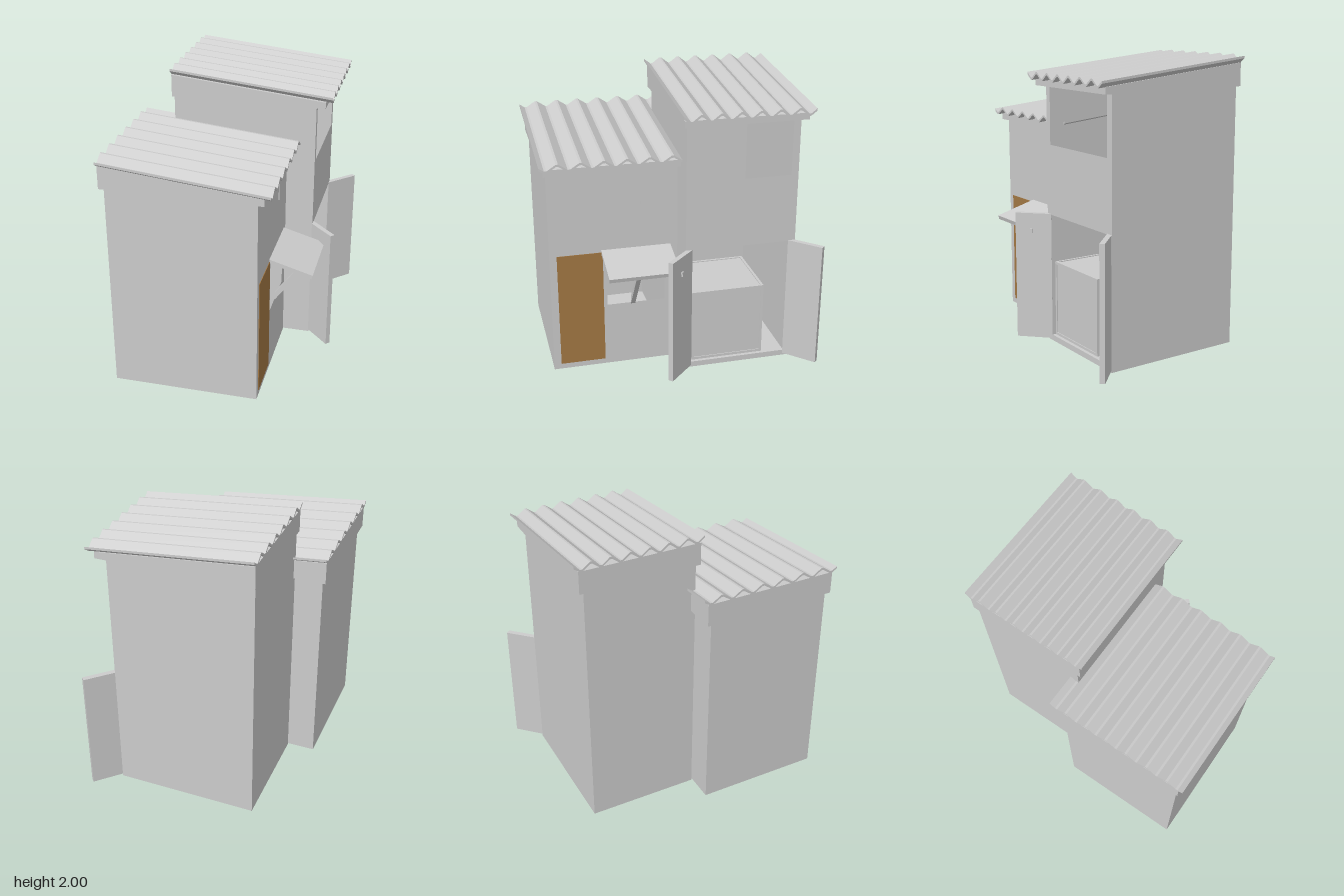
import * as THREE from 'three';

const material = (color) => new THREE.MeshStandardMaterial({ color, flatShading: true });
const grey = material(0xcccccc);
const white = material(0xffffff);
const brown = material(0xa37844);

function add(parent, name, geometry, mat = grey) {
  const mesh = new THREE.Mesh(geometry, mat);
  mesh.name = name;
  parent.add(mesh);
  return mesh;
}

// Box given by its limits along each axis
function block(parent, name, [x0, x1], [y0, y1], [z0, z1], mat) {
  const mesh = add(parent, name, new THREE.BoxGeometry(x1 - x0, y1 - y0, z1 - z0), mat);
  mesh.position.set((x0 + x1) / 2, (y0 + y1) / 2, (z0 + z1) / 2);
  return mesh;
}

const polygon = (points) => points.map(([x, y]) => new THREE.Vector2(x, y));

// Outline in (z, y) extruded along x from x0 to x1
function extrudeX(outline, x0, x1, holes = []) {
  const flip = (pts) => polygon(pts.map(([z, y]) => [-z, y]));
  const shape = new THREE.Shape(flip(outline));
  holes.forEach((h) => shape.holes.push(new THREE.Path(flip(h))));
  return new THREE.ExtrudeGeometry(shape, { depth: x1 - x0, bevelEnabled: false })
    .rotateY(Math.PI / 2).translate(x0, 0, 0);
}

// Outline in (x, y) extruded along z
function extrudeZ(outline, z0, z1) {
  return new THREE.ExtrudeGeometry(new THREE.Shape(polygon(outline)), { depth: z1 - z0, bevelEnabled: false })
    .translate(0, 0, z0);
}

const rect = (z0, z1, y0, y1) => [[z0, y0], [z1, y0], [z1, y1], [z0, y1]];

// Sloping corrugated sheet on a wedge-shaped cap
const SLOPE = 0.115 / 1.125;
function roof(parent, { x, z, top, firstPeak, pitch, cap }) {
  const wave = (v) => { // flat-topped zigzag, 0 in the valleys, 1 on the crests
    const t = Math.abs((((v - firstPeak) / pitch) % 1 + 1.5) % 1 - 0.5) * 2;
    return THREE.MathUtils.clamp((0.9 - t) / 0.8, 0, 1);
  };
  const breaks = [z[0], z[1]];
  for (let i = -2; i < 9; i++) {
    for (const f of [-0.05, 0.05, 0.45, 0.55]) {
      const v = firstPeak + (i + f) * pitch;
      if (v > z[0] + 0.004 && v < z[1] - 0.004) breaks.push(v);
    }
  }
  breaks.sort((a, b) => a - b);
  const upper = breaks.map((v) => [v, top - 0.04 + 0.04 * wave(v)]);
  const lower = upper.map(([v, y]) => [v, y - 0.016]).reverse();
  const sheet = extrudeX([...upper, ...lower], x[0], x[1]);
  const pos = sheet.attributes.position;
  for (let i = 0; i < pos.count; i++) pos.setY(i, pos.getY(i) - SLOPE * (pos.getX(i) - x[0]));
  sheet.computeVertexNormals();
  add(parent, 'corrugatedRoof', sheet);

  const high = top - 0.054;
  add(parent, 'roofCap', extrudeZ([
    [cap.x[0], cap.y], [cap.x[1], cap.y],
    [cap.x[1], high - SLOPE * (cap.x[1] - x[0])], [cap.x[0], high],
  ], cap.z[0], cap.z[1]));
}

// Hollow room with an open right wall
const T = 0.045;
function room(parent, x, y1, z, holes) {
  block(parent, 'floor', x, [0, 0.04], z);
  block(parent, 'leftWall', [x[0], x[0] + T], [0, y1], z);
  block(parent, 'frontWall', x, [0, y1], [z[1] - T, z[1]]);
  block(parent, 'backWall', x, [0, y1], [z[0], z[0] + T]);
  add(parent, 'openWall', extrudeX(rect(z[0], z[1], 0, y1), x[1] - T, x[1], holes));
}

function frontBuilding() {
  const g = new THREE.Group();
  g.name = 'frontBuilding';
  room(g, [-0.67, 0.33], 1.47, [0, 0.89], [rect(0.09, 0.5, 0.465, 0.87)]);
  roof(g, {
    x: [-0.705, 0.42], z: [-0.07, 0.94], top: 1.672, firstPeak: 0.055, pitch: 0.153,
    cap: { x: [-0.7, 0.375], y: 1.46, z: [-0.04, 0.91] },
  });
  block(g, 'door', [0.3, 0.334], [0.04, 0.87], [0.525, 0.84], brown);
  block(g, 'wallLight', [0.32, 0.335], [1.2, 1.4], [0.24, 0.26], white);
  // Propped-up window flap
  add(g, 'windowFlap', extrudeZ([[0.32, 0.862], [0.618, 0.775], [0.626, 0.803], [0.325, 0.888]], 0.05, 0.535));
  add(g, 'flapStrut', extrudeZ([[0.33, 0.455], [0.57, 0.785], [0.535, 0.795], [0.33, 0.51]], 0.303, 0.334));
  return g;
}

function backBuilding() {
  const g = new THREE.Group();
  g.name = 'backBuilding';
  room(g, [-0.475, 0.525], 1.8, [-0.79, -0.01],
    [rect(-0.74, -0.055, 0.04, 0.905), rect(-0.74, -0.055, 1.39, 1.789)]);
  block(g, 'cupboardCeiling', [-0.45, 0.5], [0.905, 0.94], [-0.76, -0.04]);
  roof(g, {
    x: [-0.49, 0.638], z: [-0.85, 0.042], top: 2, firstPeak: -0.737, pitch: 0.132,
    cap: { x: [-0.485, 0.59], y: 1.79, z: [-0.82, 0.02] },
  });
  // Swung-open cupboard doors
  for (const [z, side] of [[0.047, 1], [-0.842, -1]]) {
    const door = add(g, 'cupboardDoor', new THREE.BoxGeometry(0.255, 0.895, 0.035));
    door.position.set(0.603, 0.4625, z);
    door.rotation.y = -side * Math.PI / 4;
  }
  const latch = new THREE.Group();
  latch.name = 'doorLatch';
  latch.position.set(0.625, 0.79, 0.043);
  latch.rotation.y = -Math.PI / 4;
  block(latch, 'latchPlate', [-0.01, 0.01], [0, 0.015], [-0.01, 0.004]);
  block(latch, 'latchPin', [-0.005, 0.005], [-0.02, 0], [-0.01, 0.004]);
  g.add(latch);
  return g;
}

// Storage chest with a pale frame along every edge
function chest() {
  const g = new THREE.Group();
  g.name = 'chest';
  const X = [0, 0.5], Y = [0.04, 0.57], Z = [-0.585, -0.06], w = 0.018;
  const inset = ([a, b]) => [a + 0.006, b - 0.006];
  block(g, 'chestBody', inset(X), inset(Y), inset(Z));
  const ends = ([a, b]) => [[a, a + w], [b - w, b]];
  for (const y of ends(Y)) for (const z of ends(Z)) block(g, 'chestFrame', X, y, z, white);
  for (const x of ends(X)) for (const z of ends(Z)) block(g, 'chestFrame', x, Y, z, white);
  for (const x of ends(X)) for (const y of ends(Y)) block(g, 'chestFrame', x, y, Z, white);
  return g;
}

export function createModel() {
  const model = new THREE.Group();
  model.name = 'twinSheds';
  model.add(frontBuilding(), backBuilding(), chest());
  return model;
}
